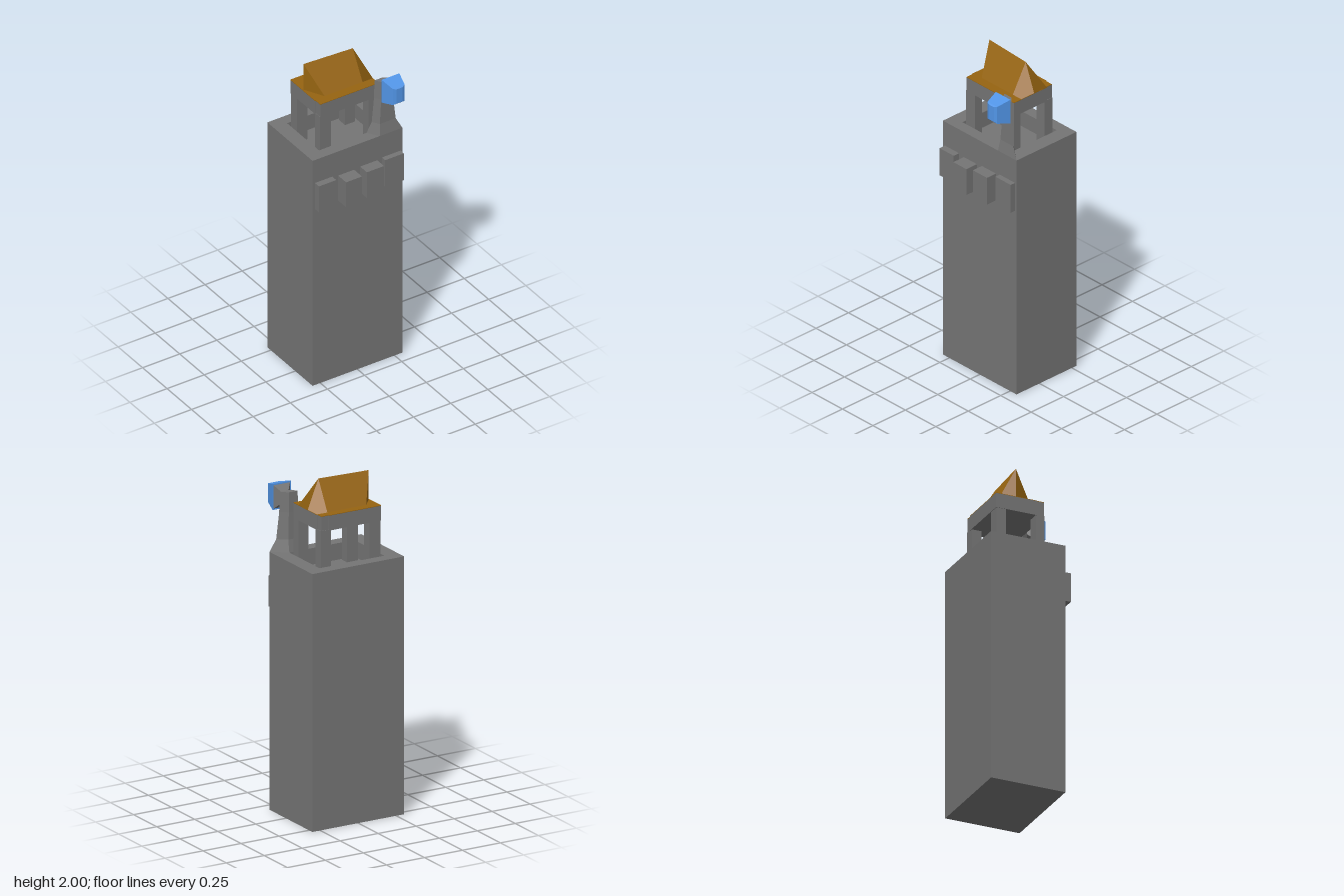
import * as THREE from 'three';

const mat = (color) => new THREE.MeshStandardMaterial({ color });

// Flat polygons, each fanned from its first corner and given a single normal.
function polygons(list) {
  const pos = [], nor = [];
  for (const face of list) {
    const pts = face.map((p) => new THREE.Vector3(...p));
    const normal = new THREE.Vector3();
    pts.forEach((p, i) => normal.add(p.clone().cross(pts[(i + 1) % pts.length])));
    normal.normalize();
    for (let i = 1; i < pts.length - 1; i++) {
      for (const p of [pts[0], pts[i], pts[i + 1]]) {
        pos.push(p.x, p.y, p.z);
        nor.push(normal.x, normal.y, normal.z);
      }
    }
  }
  const g = new THREE.BufferGeometry();
  g.setAttribute('position', new THREE.Float32BufferAttribute(pos, 3));
  g.setAttribute('normal', new THREE.Float32BufferAttribute(nor, 3));
  return g;
}

// Joins rings of corners (counterclockwise seen from the end they grow towards) and caps both ends.
function loft(rings) {
  const faces = [[...rings[0]].reverse(), rings[rings.length - 1]];
  for (let r = 0; r < rings.length - 1; r++) {
    const lo = rings[r], hi = rings[r + 1];
    lo.forEach((p, i) => {
      const j = (i + 1) % lo.length;
      faces.push([p, lo[j], hi[j], hi[i]]);
    });
  }
  return polygons(faces);
}

export function createModel() {
  const model = new THREE.Group();
  const grey = mat(0x757575), brown = mat(0x966411), blue = mat(0x5296e8);

  const add = (name, geometry, material = grey) => {
    const mesh = new THREE.Mesh(geometry, material);
    mesh.name = name;
    model.add(mesh);
    return mesh;
  };
  const box = (name, x0, x1, y0, y1, z0, z1) =>
    add(name, new THREE.BoxGeometry(x1 - x0, y1 - y0, z1 - z0))
      .position.set((x0 + x1) / 2, (y0 + y1) / 2, (z0 + z1) / 2);
  // Extrudes a plan given in (x, z) upwards from y0
  const plan = (pts) => pts.map(([x, z]) => new THREE.Vector2(x, -z));
  const slab = (name, outline, hole, y0, y1, material) => {
    const shape = new THREE.Shape(plan(outline));
    if (hole) shape.holes.push(new THREE.Path(plan(hole)));
    const g = new THREE.ExtrudeGeometry(shape, { depth: y1 - y0, bevelEnabled: false });
    add(name, g.rotateX(-Math.PI / 2).translate(0, y0, 0), material);
  };
  const rect = (x0, x1, z0, z1) => [[x0, z0], [x0, z1], [x1, z1], [x1, z0]];

  // Tower shaft with a sunken top
  const top = 1.528, floor = 1.43;
  box('towerShaft', -0.302, 0.302, 0, floor, -0.285, 0.177);
  slab('towerRim', rect(-0.302, 0.302, -0.285, 0.177), rect(-0.214, 0.213, -0.217, 0.109), floor, top);

  // Row of blocks on the front
  [[-0.286, -0.17, 1.372, 0.218], [-0.13, -0.023, 1.364, 0.258],
    [0.018, 0.133, 1.37, 0.246], [0.165, 0.29, 1.377, 0.21]]
    .forEach(([x0, x1, y1, z1]) => box('frontBlock', x0, x1, 1.195, y1, 0.17, z1));

  // Four pillars carrying the canopy
  for (const [x0, x1] of [[-0.198, -0.125], [0.127, 0.193]]) {
    for (const [z0, z1] of [[-0.202, -0.142], [0.042, 0.095]]) {
      box('pillar', x0, x1, floor, 1.74, z0, z1);
    }
  }
  const deck = [[-0.2, -0.205], [-0.2, 0.048], [-0.196, 0.048], [-0.196, 0.095], [0.195, 0.095],
    [0.195, -0.158], [0.19, -0.158], [0.19, -0.2], [0.143, -0.2], [0.143, -0.205]];
  slab('canopySlab', deck, null, 1.735, 1.823, grey);
  slab('roofDeck', deck, null, 1.823, 1.826, brown);

  // Ridged roof: upright point on the right end, folded hip on the left end
  const ridgeR = [-0.194, 2, -0.08], ridgeL = [0.125, 2, -0.06];
  const foot = (x, z) => [x, 1.824, z];
  const zf = 0.04, zb = -0.158, tip = foot(-0.194, -0.08), mid = foot(0.195, -0.06);
  add('roof', polygons([
    [ridgeR, foot(-0.13, zf), foot(0.125, zf), ridgeL],
    [ridgeL, foot(0.125, zb), foot(-0.13, zb), ridgeR],
    [ridgeR, tip, foot(-0.13, zf)],
    [ridgeR, foot(-0.13, zb), tip],
    [ridgeL, foot(0.125, zf), foot(0.195, zf), mid],
    [ridgeL, mid, foot(0.195, zb), foot(0.125, zb)],
  ]), brown);

  // Flared post at the front corner: height, back x range and z, front x range and z
  const post = [
    [top, 0.106, 0.213, 0.109, 0.15, 0.302, 0.177],
    [1.6, 0.132, 0.212, 0.122, 0.158, 0.265, 0.166],
    [1.76, 0.145, 0.206, 0.126, 0.17, 0.248, 0.161],
    [1.878, 0.148, 0.205, 0.126, 0.17, 0.245, 0.16],
  ];
  add('lampPost', loft(post.map(([h, b0, b1, bz, f0, f1, fz]) =>
    [[b0, h, bz], [f0, h, fz], [f1, h, fz], [b1, h, bz]])));

  // Lamp: rectangular sections growing forwards
  const section = (w, h, z) => [[-w, -h], [w, -h], [w, h], [-w, h]]
    .map(([dx, dy]) => [0.211 + dx, 1.842 + dy, z]);
  add('lampNeck', loft([section(0.02, 0.03, 0.157), section(0.057, 0.072, 0.197)]));
  add('lampHead', loft([section(0.06, 0.077, 0.194), section(0.04, 0.055, 0.278),
    section(0.02, 0.048, 0.285)]), blue);

  return model;
}
